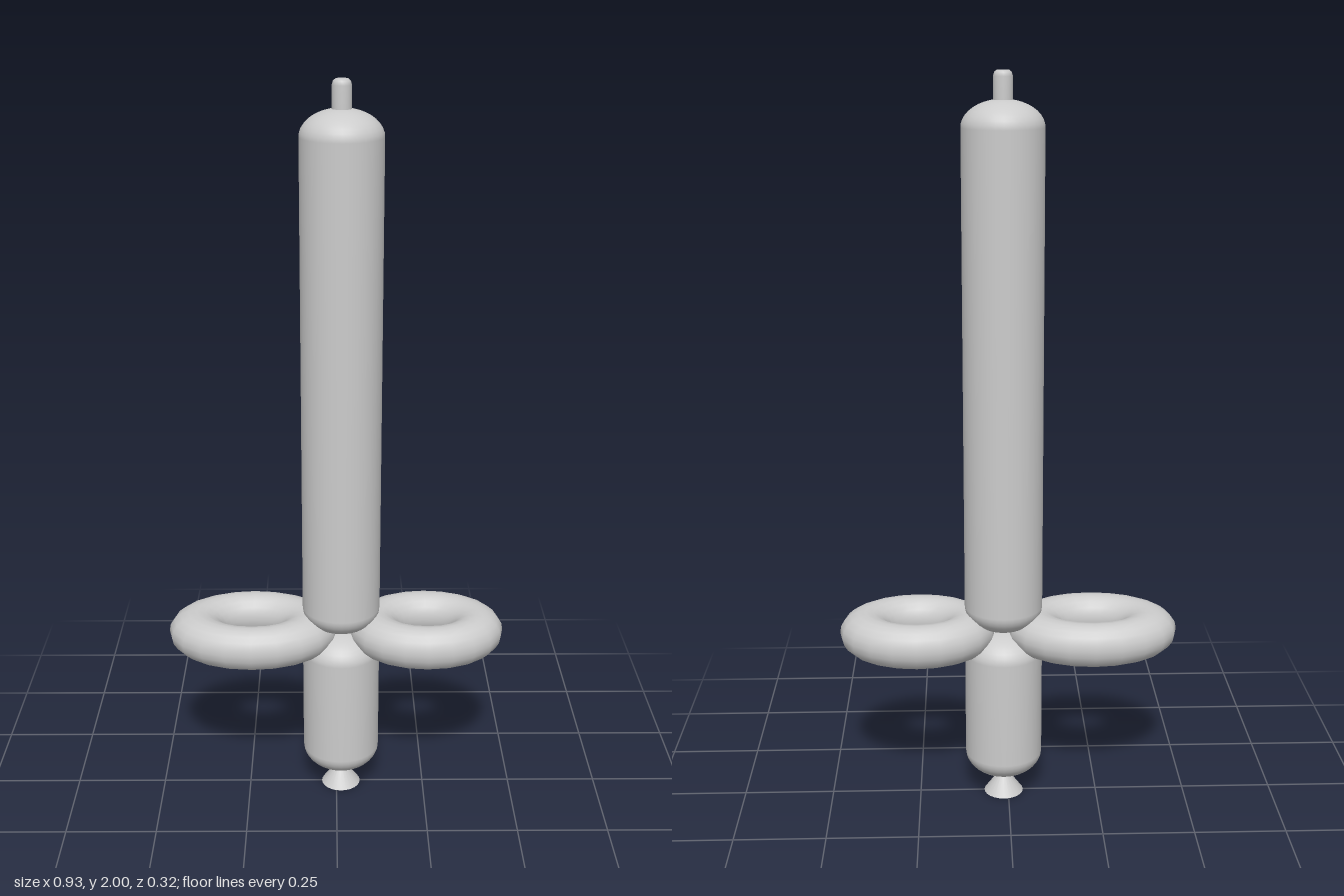
import * as THREE from 'three';

const material = new THREE.MeshStandardMaterial({ color: 0xcccccc });
const openMaterial = new THREE.MeshStandardMaterial({ color: 0xcccccc, side: THREE.DoubleSide });
const AXIS_X = 0.013;

// Long balloon segment: a cylinder with flattened elliptical domes at both ends
function balloonSegment(name, bottom, top, radius = 0.107, cap = 0.07) {
  const points = [];
  const steps = 10;
  for (let end = 0; end < 2; end++) {
    for (let i = 0; i <= steps; i++) {
      const a = ((end ? steps - i : i) / steps) * Math.PI / 2;
      const r = i === (end ? steps : 0) ? 0 : radius * Math.sin(a);
      const drop = cap * (1 - Math.cos(a));
      points.push(new THREE.Vector2(r, end ? top - drop : bottom + drop));
    }
  }
  const mesh = new THREE.Mesh(new THREE.LatheGeometry(points, 32), material);
  mesh.name = name;
  mesh.position.x = AXIS_X;
  return mesh;
}

// Guard loop: a flat ring stretched sideways
function guardLoop(name, x, halfWidth) {
  const geometry = new THREE.TorusGeometry(0.668, 0.332, 20, 20);
  geometry.rotateX(Math.PI / 2);
  geometry.scale(halfWidth, 0.061 / 0.332, 0.162);
  geometry.computeVertexNormals();
  // Average the seam by deriving smooth normals from the stretched ring
  const pos = geometry.attributes.position;
  const normal = geometry.attributes.normal;
  const n = new THREE.Vector3();
  for (let i = 0; i < pos.count; i++) {
    const px = pos.getX(i) / halfWidth;
    const py = pos.getY(i) / (0.061 / 0.332);
    const pz = pos.getZ(i) / 0.162;
    const k = 1 - 0.668 / Math.hypot(px, pz);
    n.set(px * k / halfWidth, py / (0.061 / 0.332), pz * k / 0.162).normalize();
    normal.setXYZ(i, n.x, n.y, n.z);
  }
  const mesh = new THREE.Mesh(geometry, material);
  mesh.name = name;
  mesh.position.set(x, 0.495, 0);
  return mesh;
}

export function createModel() {
  const group = new THREE.Group();
  group.name = 'balloonSword';

  // Blade and handle meet at a pinch inside the guard
  group.add(balloonSegment('blade', 0.5, 1.93));
  group.add(balloonSegment('handle', 0.06, 0.5));

  // Guard loops on either side of the pinch
  group.add(guardLoop('guardLeft', 0.25, 0.215));
  group.add(guardLoop('guardRight', -0.232, 0.235));

  // Uninflated tip with a softly rounded end
  const tipProfile = [[0.025, 1.91], [0.025, 1.985], [0.022, 1.995], [0.016, 2], [0, 2]]
    .map(([r, y]) => new THREE.Vector2(r, y));
  const tip = new THREE.Mesh(new THREE.LatheGeometry(tipProfile, 20), material);
  tip.name = 'tip';
  tip.position.x = AXIS_X;
  group.add(tip);

  // Flared knot, open underneath
  const knot = new THREE.Mesh(new THREE.CylinderGeometry(0.008, 0.055, 0.065, 24, 1, true), openMaterial);
  knot.name = 'knot';
  knot.position.set(AXIS_X, 0.0325, 0);
  group.add(knot);

  return group;
}
